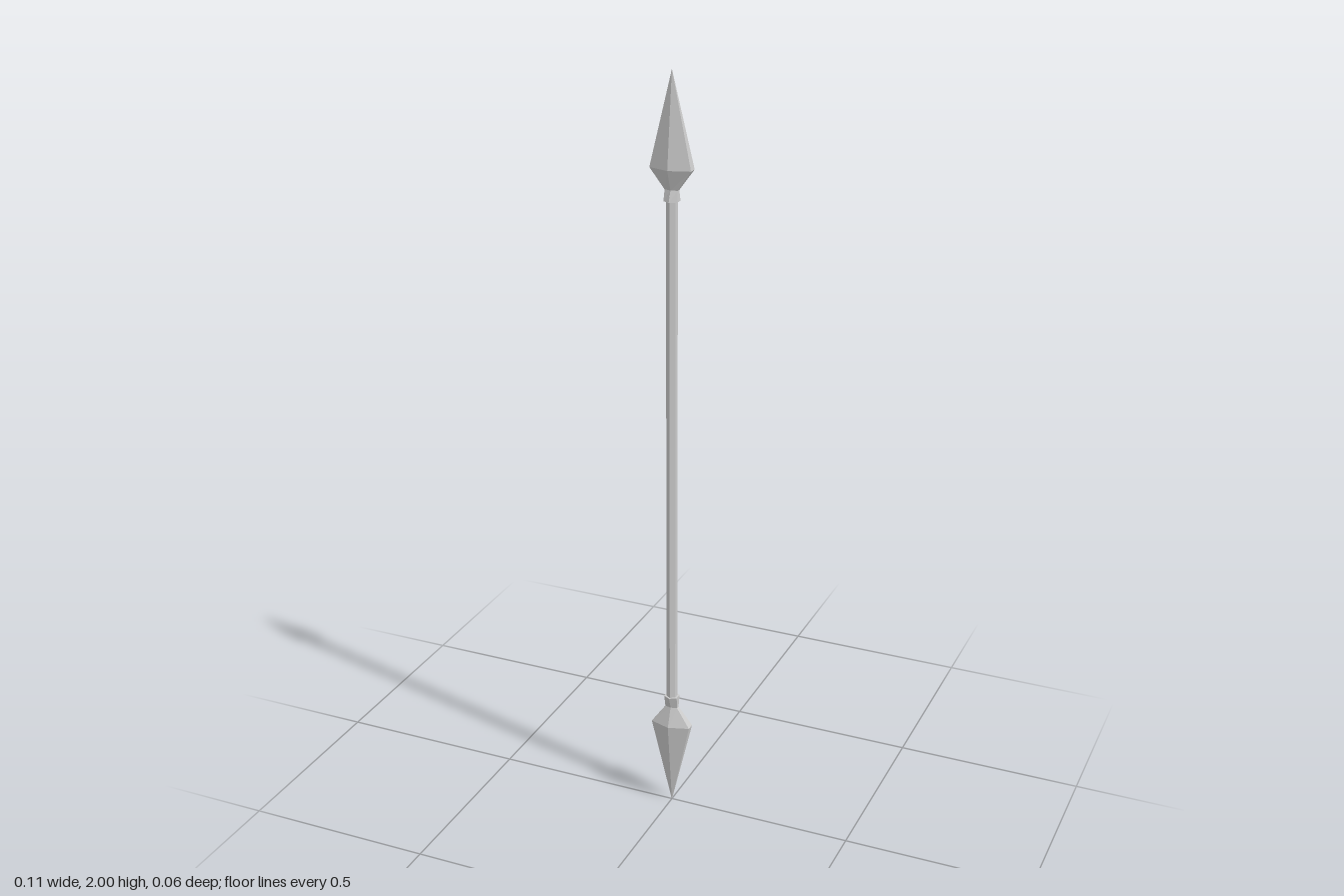
import * as THREE from 'three';

const material = new THREE.MeshStandardMaterial({ color: 0xcccccc, flatShading: true });

// Six-sided loft; each level from top to bottom is
// [y, half width, half thickness of the side edge, half thickness at the ridge]
function hexLoft(name, levels) {
  const rows = levels.length - 1;
  const geometry = new THREE.CylinderGeometry(1, 1, rows, 6, rows);
  const p = geometry.attributes.position;
  for (let i = 0; i < p.count; i++) {
    const [y, width, edge, ridge] = levels[Math.round(rows / 2 - p.getY(i))];
    const x = p.getX(i), z = p.getZ(i);
    const onSide = Math.abs(x) > 0.1;
    const centre = !onSide && Math.abs(z) < 0.1;
    p.setXYZ(i,
      onSide ? Math.sign(x) * width : 0,
      y,
      centre ? 0 : Math.sign(z) * (onSide ? edge : ridge));
  }
  geometry.computeVertexNormals();
  const mesh = new THREE.Mesh(geometry, material);
  mesh.name = name;
  return mesh;
}

// Blade profile running from the tip through shoulder and neck to the collar
const spearhead = (tip, shoulder, neck, collar) => [
  [tip, 0.0004, 0.0002, 0.0004],
  [shoulder, 0.054, 0.011, 0.028],
  [neck, 0.017, 0.005, 0.009],
  [collar, 0.018, 0.01, 0.02],
];

export function createModel() {
  const group = new THREE.Group();
  group.name = 'doubleEndedSpear';

  // Hexagonal shaft with a ridge facing front and back
  group.add(hexLoft('shaft', [
    [1.7, 0.0125, 0.007, 0.0145],
    [0.31, 0.0125, 0.007, 0.0145],
  ]));

  // Blades at both ends
  group.add(hexLoft('upperSpearhead', spearhead(2, 1.765, 1.713, 1.685)));
  group.add(hexLoft('lowerSpearhead', spearhead(0, 0.24, 0.292, 0.325).reverse()));

  return group;
}
